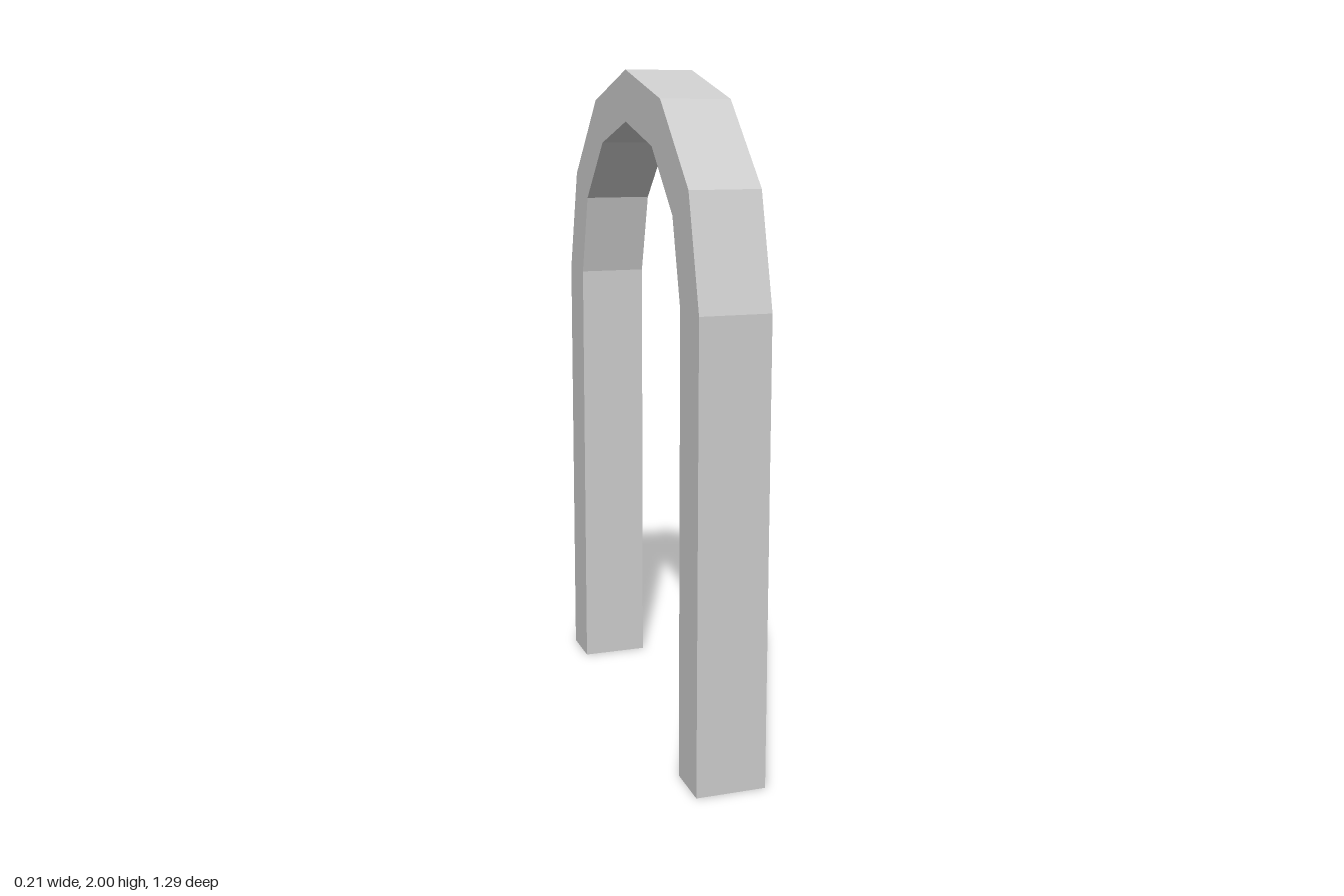
import * as THREE from 'three';

const OUTER = 0.645, INNER = 0.495; // arch radii
const SPRING = 1.355;               // height where the curve begins
const WIDTH = 0.207;
const SEGMENTS = 6;

// Half-ring of points from one leg over the top to the other
function arc(radius) {
  return Array.from({ length: SEGMENTS + 1 }, (_, i) => {
    const a = (i / SEGMENTS) * Math.PI;
    return new THREE.Vector2(radius * Math.cos(a), SPRING + radius * Math.sin(a));
  });
}

export function createModel() {
  const group = new THREE.Group();
  group.name = 'archway';

  // Legs and faceted arch as one continuous profile
  const outline = [
    new THREE.Vector2(OUTER, 0), ...arc(OUTER), new THREE.Vector2(-OUTER, 0),
    new THREE.Vector2(-INNER, 0), ...arc(INNER).reverse(), new THREE.Vector2(INNER, 0),
  ];
  const geometry = new THREE.ExtrudeGeometry(new THREE.Shape(outline), {
    depth: WIDTH, bevelEnabled: false,
  });
  geometry.translate(0, 0, -WIDTH / 2);
  geometry.rotateY(Math.PI / 2); // arch spans front to back

  const arch = new THREE.Mesh(
    geometry,
    new THREE.MeshStandardMaterial({ color: 0xcccccc, flatShading: true })
  );
  arch.name = 'arch';
  group.add(arch);
  return group;
}
